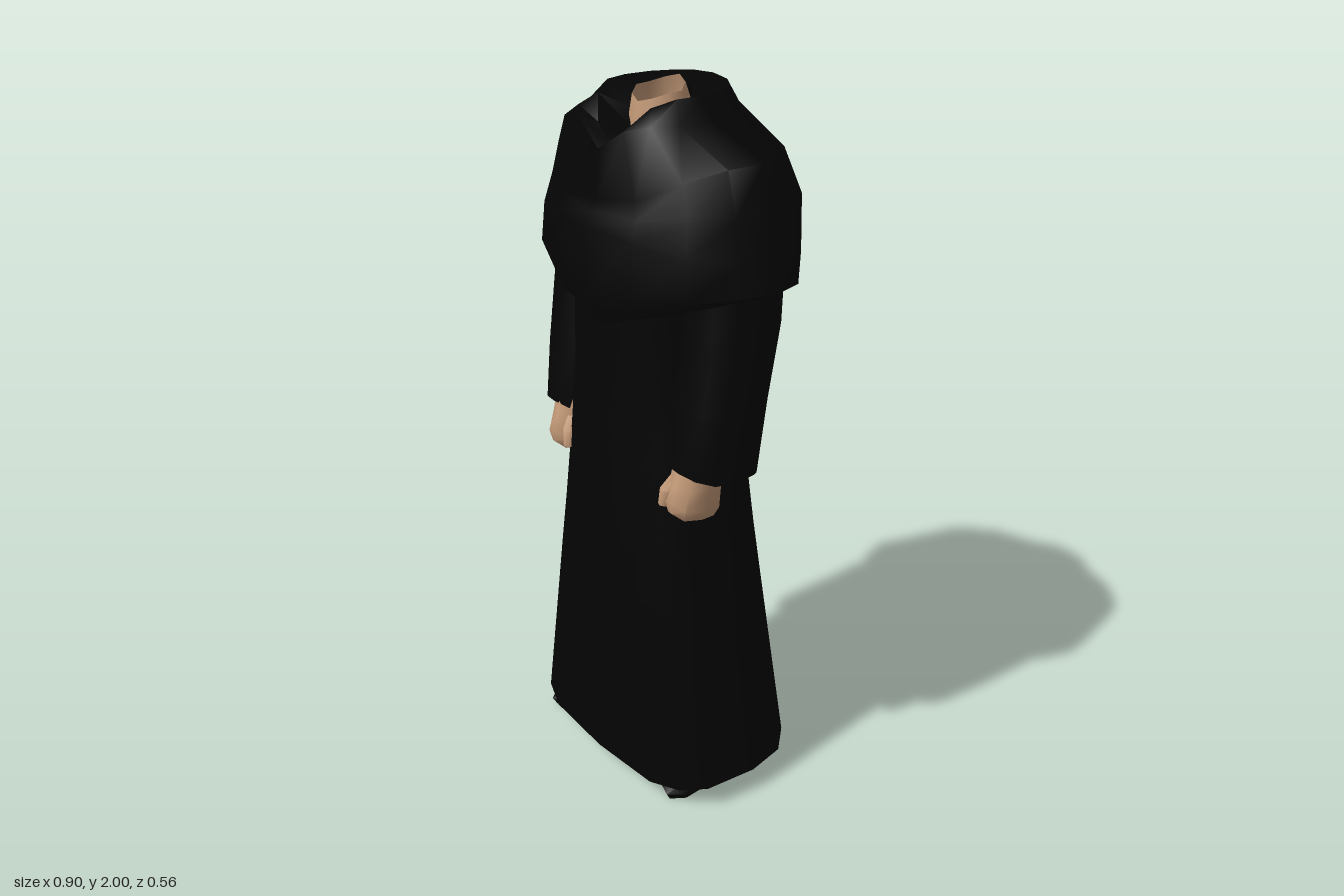
import * as THREE from 'three';
import { toCreasedNormals } from 'three/addons/utils/BufferGeometryUtils.js';

// Loft through rings listed bottom to top:
// [centreX, halfWidth, zFront, zBack, yFront, ySide, yBack, dip, frontPower, backPower]
// dip sets how narrowly the front and back heights are confined to the middle,
// a power below 1 makes that half of the ring squarer
function loft(rings, sides = 16, power = 0.9) {
  const pos = [], index = [];
  for (const [cx, rx, zF, zB, yF, yS = yF, yB = yF, dip = 3, front = power, back = power] of rings) {
    for (let j = 0; j < sides; j++) {
      const a = (j / sides) * Math.PI * 2, s = Math.sin(a), c = Math.cos(a);
      const w = Math.abs(c) ** dip;
      const round = (v) => Math.sign(v) * Math.abs(v) ** (c > 0 ? front : back);
      pos.push(
        cx + rx * round(s),
        yS + ((c > 0 ? yF : yB) - yS) * w,
        (zF + zB) / 2 + ((zF - zB) / 2) * round(c));
    }
  }
  for (let i = 0; i < rings.length - 1; i++) {
    for (let j = 0; j < sides; j++) {
      const k = (j + 1) % sides;
      const a = i * sides + j, b = i * sides + k, c = b + sides, d = a + sides;
      index.push(a, b, c, a, c, d);
    }
  }
  const g = new THREE.BufferGeometry();
  g.setAttribute('position', new THREE.Float32BufferAttribute(pos, 3));
  g.setIndex(index);
  return toCreasedNormals(g, 0.9);
}

export function createModel() {
  const group = new THREE.Group();
  const cloth = new THREE.MeshStandardMaterial({ color: 0x040404, side: THREE.DoubleSide });
  cloth.name = 'black cloth';
  const skin = new THREE.MeshStandardMaterial({ color: 0xc49a78, side: THREE.DoubleSide });
  skin.name = 'skin';
  const leather = new THREE.MeshStandardMaterial({ color: 0x050505 });
  leather.name = 'shoe leather';

  const add = (name, geometry, material) => {
    const mesh = new THREE.Mesh(geometry, material);
    mesh.name = name;
    group.add(mesh);
    return mesh;
  };

  // Long robe, flared to a squarish front hem and closed underneath
  add('robe', loft([
    [0.02, 0, 0.02, 0.02, 0.1],
    [0.025, 0.37, 0.26, -0.23, 0.08, 0.08, 0.08, 3, 0.55],
    [0.025, 0.395, 0.28, -0.25, 0.045, 0.07, 0.055, 3, 0.55],
    [0.02, 0.315, 0.265, -0.19, 0.62, 0.62, 0.62, 3, 0.68],
    [0.02, 0.295, 0.26, -0.17, 0.78, 0.78, 0.78, 3, 0.74],
    [0.015, 0.265, 0.25, -0.15, 1.02],
    [0.01, 0.235, 0.242, -0.135, 1.2],
    [0.01, 0.225, 0.24, -0.1, 1.28],
    [0.005, 0.22, 0.24, -0.125, 1.4],
    [0, 0.225, 0.24, -0.14, 1.58],
  ], 16, 0.82), cloth);

  // Shoulder cape with a raised back collar, standing lapels and a V neckline
  add('cape', loft([
    [0, 0.2, 0.235, -0.12, 1.38, 1.52, 1.43],
    [0, 0.39, 0.252, -0.18, 1.42, 1.52, 1.465],
    [0, 0.45, 0.265, -0.245, 1.47, 1.55, 1.42],
    [0, 0.432, 0.265, -0.275, 1.66, 1.62, 1.63],
    [0, 0.405, 0.242, -0.26, 1.69, 1.735, 1.72, 3, 1, 0.85],
    [0, 0.37, 0.23, -0.235, 1.72, 1.855, 1.83],
    [0, 0.2, 0.222, -0.19, 1.85, 1.925, 1.92, 20, 0.8, 1],
    [0, 0.155, 0.19, -0.15, 1.86, 1.98, 1.988, 5, 1, 0.85],
    [0, 0.085, 0.1, -0.055, 1.86, 1.955, 1.975],
  ], 16, 1), cloth);

  // Open neck stump, its rim sloping down to the front
  add('neck', loft([
    [0, 0.088, 0.105, -0.06, 1.8],
    [0, 0.082, 0.102, -0.054, 1.9, 1.93, 1.95],
    [0, 0.07, 0.096, -0.038, 1.95, 1.975, 2],
  ], 10, 1), skin);

  // Dark floor inside the neck
  add('neckOpening', loft([
    [0, 0, 0.03, 0.03, 1.86],
    [0, 0.08, 0.1, -0.05, 1.86],
  ], 10, 1), cloth);

  for (const side of [-1, 1]) {
    const label = side > 0 ? 'left' : 'right';
    const cuff = side > 0 ? 0.31 : -0.262;
    const hand = side > 0 ? 0.3 : -0.242;

    // Wide sleeve, closed just inside the cuff
    add(label + 'Sleeve', loft([
      [cuff, 0, 0.1, 0.1, 1.09],
      [cuff, 0.085, 0.19, -0.01, 1.08, 1.06, 1.03],
      [cuff, 0.097, 0.21, -0.03, 1.06, 1.035, 1.0],
      [cuff - 0.003, 0.105, 0.19, -0.06, 1.22],
      [side * 0.285 + 0.008, 0.11, 0.155, -0.11, 1.42],
      [side * 0.288, 0.11, 0.14, -0.12, 1.58],
    ], 12, 0.9), cloth);

    // Loosely closed hand, tilted forward
    add(label + 'Hand', loft([
      [hand, 0, 0.16, 0.16, 0.915],
      [hand, 0.045, 0.225, 0.09, 0.942, 0.92, 0.895],
      [hand, 0.058, 0.232, 0.077, 0.975, 0.947, 0.92],
      [hand, 0.057, 0.215, 0.072, 1.015, 1.01, 1.0],
      [hand, 0.052, 0.195, 0.065, 1.1],
    ], 8, 0.85), skin);

    // Thumb along the inner front of the hand
    add(label + 'Thumb', loft([
      [hand - side * 0.05, 0, 0.2, 0.2, 0.935],
      [hand - side * 0.05, 0.02, 0.225, 0.17, 0.945],
      [hand - side * 0.045, 0.024, 0.222, 0.155, 0.99],
      [hand - side * 0.03, 0.015, 0.19, 0.14, 1.04],
    ], 8), skin);

    // Shoe under the hem, toe turned out
    const shoe = add(label + 'Shoe', loft([
      [0, 0, 0, 0, 0],
      [0, 0.06, 0.18, -0.17, 0, 0, 0.01],
      [0, 0.075, 0.195, -0.19, 0.025, 0.025, 0.035],
      [0, 0.065, 0.16, -0.18, 0.06, 0.07, 0.08],
      [0, 0, 0, 0, 0.11],
    ], 10), leather);
    shoe.position.set(side * 0.235 + 0.017, 0, 0.06);
    shoe.rotation.y = side * 0.3;
  }
  return group;
}
